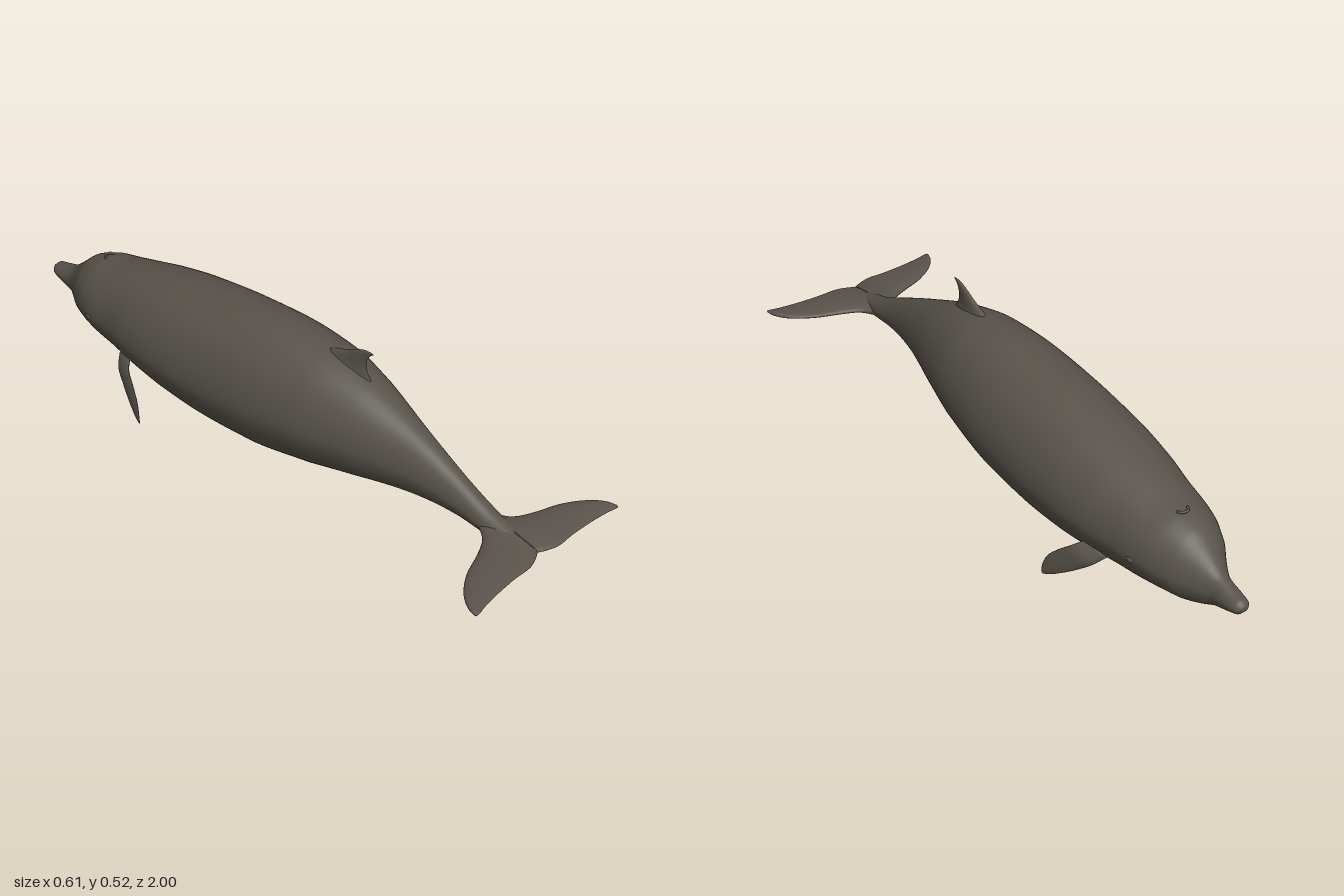
import * as THREE from 'three';

const skin = new THREE.MeshStandardMaterial({ color: 0x58534b });
skin.name = 'greyBrownSkin';

const V = (x, y, z) => new THREE.Vector3(x, y, z);

// Smooth closed skin over equal-length rings of points, with both ends capped
function loft(rings) {
  const n = rings[0].length, pos = [], idx = [];
  rings.forEach(r => r.forEach(p => pos.push(p.x, p.y, p.z)));
  for (let i = 0; i < rings.length - 1; i++) {
    for (let j = 0; j < n; j++) {
      const a = i * n + j, b = i * n + (j + 1) % n;
      idx.push(a, b, a + n, b, b + n, a + n);
    }
  }
  const cap = (ring, start, flip) => {
    const c = ring.reduce((s, p) => s.add(p), V(0, 0, 0)).divideScalar(n);
    const k = pos.length / 3;
    pos.push(c.x, c.y, c.z);
    for (let j = 0; j < n; j++) {
      const a = start + j, b = start + (j + 1) % n;
      idx.push(k, flip ? b : a, flip ? a : b);
    }
  };
  cap(rings[0], 0, true);
  cap(rings[rings.length - 1], (rings.length - 1) * n, false);

  // Turn the faces outward whichever way the rings run
  let volume = 0;
  const at = i => V(pos[3 * i], pos[3 * i + 1], pos[3 * i + 2]);
  for (let i = 0; i < idx.length; i += 3) {
    volume += at(idx[i]).dot(at(idx[i + 1]).cross(at(idx[i + 2])));
  }
  if (volume < 0) idx.reverse();

  const g = new THREE.BufferGeometry();
  g.setAttribute('position', new THREE.Float32BufferAttribute(pos, 3));
  g.setIndex(idx);
  g.computeVertexNormals();
  return g;
}

// Fin between a leading and a trailing edge; thick lists half thickness from root to tip
function fin(lead, trail, thick, up, steps = 28, sides = 24) {
  const a = new THREE.CatmullRomCurve3(lead), b = new THREE.CatmullRomCurve3(trail);
  const h = new THREE.CatmullRomCurve3(thick.map((t, i) => V(i, t, 0)));
  const rings = [];
  for (let i = 0; i <= steps; i++) {
    const t = i / steps, p = a.getPoint(t), q = b.getPoint(t), w = h.getPoint(t).y;
    const ring = [];
    for (let j = 0; j < sides; j++) {
      const s = j / sides * Math.PI * 2, c = Math.cos(s);
      // rounded leading edge, finer trailing edge
      const half = w * Math.sin(s) * (1 + 0.35 * c);
      ring.push(p.clone().lerp(q, (1 - c) / 2).addScaledVector(up, half));
    }
    rings.push(ring);
  }
  return loft(rings);
}

// Body stations: z, top, bottom, half width
const stations = [
  [-0.998, 0.21, 0.193, 0.012], [-0.985, 0.222, 0.178, 0.025], [-0.955, 0.229, 0.167, 0.031],
  [-0.90, 0.247, 0.147, 0.037], [-0.85, 0.287, 0.122, 0.064], [-0.80, 0.33, 0.108, 0.098],
  [-0.74, 0.354, 0.104, 0.125], [-0.68, 0.365, 0.097, 0.141], [-0.60, 0.386, 0.083, 0.152],
  [-0.50, 0.41, 0.068, 0.172], [-0.38, 0.434, 0.05, 0.186], [-0.20, 0.458, 0.037, 0.192],
  [0, 0.473, 0.044, 0.187], [0.20, 0.466, 0.078, 0.163], [0.35, 0.427, 0.111, 0.125],
  [0.50, 0.363, 0.141, 0.08], [0.60, 0.316, 0.153, 0.057], [0.70, 0.265, 0.155, 0.042],
  [0.80, 0.217, 0.148, 0.035], [0.88, 0.194, 0.154, 0.027], [0.95, 0.178, 0.166, 0.01],
];

function bodyGeometry() {
  const size = new THREE.CatmullRomCurve3(stations.map(s => V(s[1], s[2], s[3])));
  const along = new THREE.CatmullRomCurve3(stations.map(s => V(s[0], 0, 0)));
  const rings = [], steps = 120, sides = 56;
  for (let i = 0; i <= steps; i++) {
    const z = along.getPoint(i / steps).x, s = size.getPoint(i / steps);
    const mid = s.y + (s.x - s.y) * 0.46;
    const ring = [];
    for (let j = 0; j < sides; j++) {
      const a = j / sides * Math.PI * 2, sn = Math.sin(a);
      // the belly is drawn in to a soft keel
      const pinch = sn < 0 ? 1 - 0.07 * Math.sin(2 * Math.abs(a - Math.PI * 1.5)) : 1;
      ring.push(V(s.z * Math.cos(a) * pinch, mid + sn * (sn > 0 ? s.x - mid : mid - s.y), z));
    }
    rings.push(ring);
  }
  return loft(rings);
}

export function createModel() {
  const model = new THREE.Group();
  model.name = 'whale';
  const add = (name, geometry) => {
    const mesh = new THREE.Mesh(geometry, skin);
    mesh.name = name;
    model.add(mesh);
    return mesh;
  };

  add('body', bodyGeometry());

  // Small swept dorsal fin
  add('dorsalFin', fin(
    [V(0, 0.435, 0.16), V(0, 0.468, 0.2), V(0, 0.488, 0.25), V(0, 0.508, 0.29), V(0, 0.521, 0.325), V(0, 0.522, 0.352)],
    [V(0, 0.40, 0.37), V(0, 0.438, 0.343), V(0, 0.465, 0.331), V(0, 0.488, 0.332), V(0, 0.508, 0.342), V(0, 0.519, 0.355)],
    [0.026, 0.014, 0.009, 0.006, 0.004, 0.001], V(1, 0, 0)));

  for (const [side, s] of [['left', 1], ['right', -1]]) {
    // Tail flukes
    add(side + 'Fluke', fin(
      [V(0, 0.185, 0.70), V(s * 0.035, 0.178, 0.78), V(s * 0.065, 0.175, 0.818), V(s * 0.12, 0.173, 0.846),
        V(s * 0.2, 0.173, 0.876), V(s * 0.265, 0.173, 0.92), V(s * 0.296, 0.173, 0.96), V(s * 0.305, 0.173, 0.987)],
      [V(0, 0.172, 0.955), V(s * 0.02, 0.172, 0.966), V(s * 0.06, 0.172, 0.979), V(s * 0.12, 0.172, 0.978),
        V(s * 0.2, 0.172, 0.982), V(s * 0.265, 0.172, 0.99), V(s * 0.292, 0.172, 0.996), V(s * 0.303, 0.172, 0.997)],
      [0.024, 0.017, 0.013, 0.011, 0.009, 0.008, 0.006, 0.002], V(0, 1, 0)));

    // Flippers, swept down and back
    add(side + 'Flipper', fin(
      [V(s * 0.115, 0.135, -0.565), V(s * 0.148, 0.105, -0.54), V(s * 0.168, 0.07, -0.50),
        V(s * 0.187, 0.036, -0.455), V(s * 0.203, 0.009, -0.413), V(s * 0.21, 0.001, -0.392)],
      [V(s * 0.13, 0.17, -0.505), V(s * 0.17, 0.143, -0.475), V(s * 0.19, 0.108, -0.435),
        V(s * 0.204, 0.07, -0.403), V(s * 0.211, 0.03, -0.39), V(s * 0.211, 0.006, -0.388)],
      [0.014, 0.011, 0.009, 0.007, 0.004, 0.001], V(s * 0.86, 0.36, -0.36)));

    // Eyes, slight swellings behind the cheeks
    const eye = add(side + 'Eye', new THREE.SphereGeometry(0.012, 16, 12));
    eye.scale.set(0.5, 0.8, 1.2);
    eye.position.set(s * 0.138, 0.22, -0.685);
  }

  // Crescent blowhole lip on the crown
  const blowhole = add('blowhole', new THREE.TorusGeometry(0.017, 0.004, 8, 24, Math.PI));
  blowhole.rotation.x = -Math.PI / 2 + 0.2;
  blowhole.position.set(0, 0.356, -0.728);

  return model;
}
